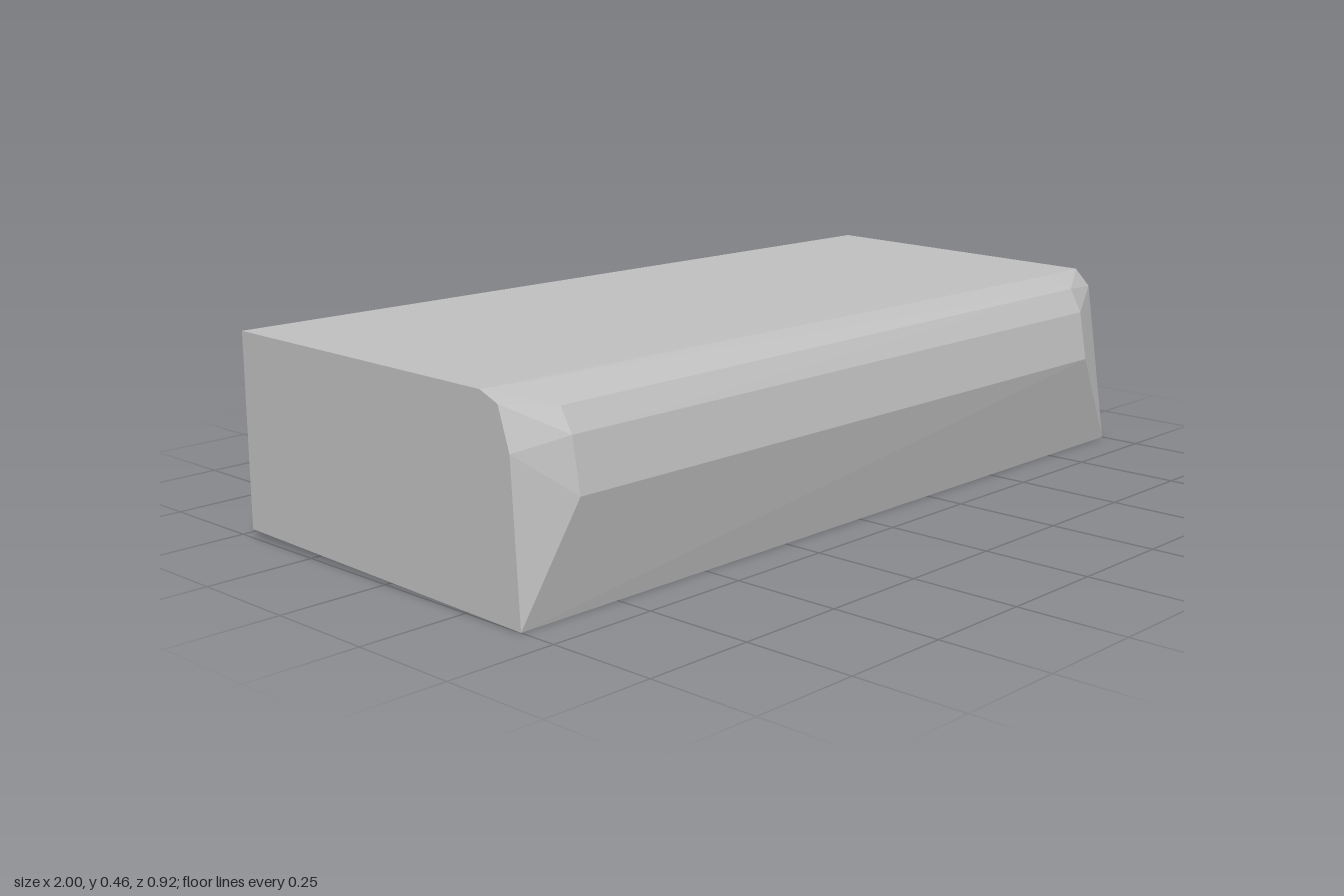
import * as THREE from 'three';
import { ConvexGeometry } from 'three/addons/geometries/ConvexGeometry.js';

// Cross-sections along x; each point is [z, y]
const sections = [
  // right end, with a narrow bevelled front
  { x: -1, points: [[-0.46, 0.455], [0.31, 0.45], [0.36, 0.43], [0.39, 0.34], [0.41, 0], [-0.46, 0.02]] },
  // start of the bulging front
  { x: -0.89, points: [[0.32, 0.448], [0.41, 0.416], [0.44, 0.365], [0.46, 0.25]] },
  // end of the bulging front and of the flat underside
  { x: 0.81, points: [[0.33, 0.437], [0.41, 0.415], [0.44, 0.36], [0.46, 0.245], [-0.46, 0.02]] },
  // left end, with a wider bevel and a raised rear lower corner
  { x: 1, points: [[-0.46, 0.44], [0.30, 0.43], [0.34, 0.39], [0.40, 0], [-0.46, 0.06]] },
];

export function createModel() {
  const model = new THREE.Group();
  model.name = 'chippedStoneBlock';

  const stone = new THREE.MeshStandardMaterial({ color: 0xbfbfbf });
  stone.name = 'grey stone';

  // Faceted block wrapped around the cross-sections
  const corners = sections.flatMap(({ x, points }) =>
    points.map(([z, y]) => new THREE.Vector3(x, y, z)));
  const block = new THREE.Mesh(new ConvexGeometry(corners), stone);
  block.name = 'stoneBlock';
  model.add(block);

  return model;
}
